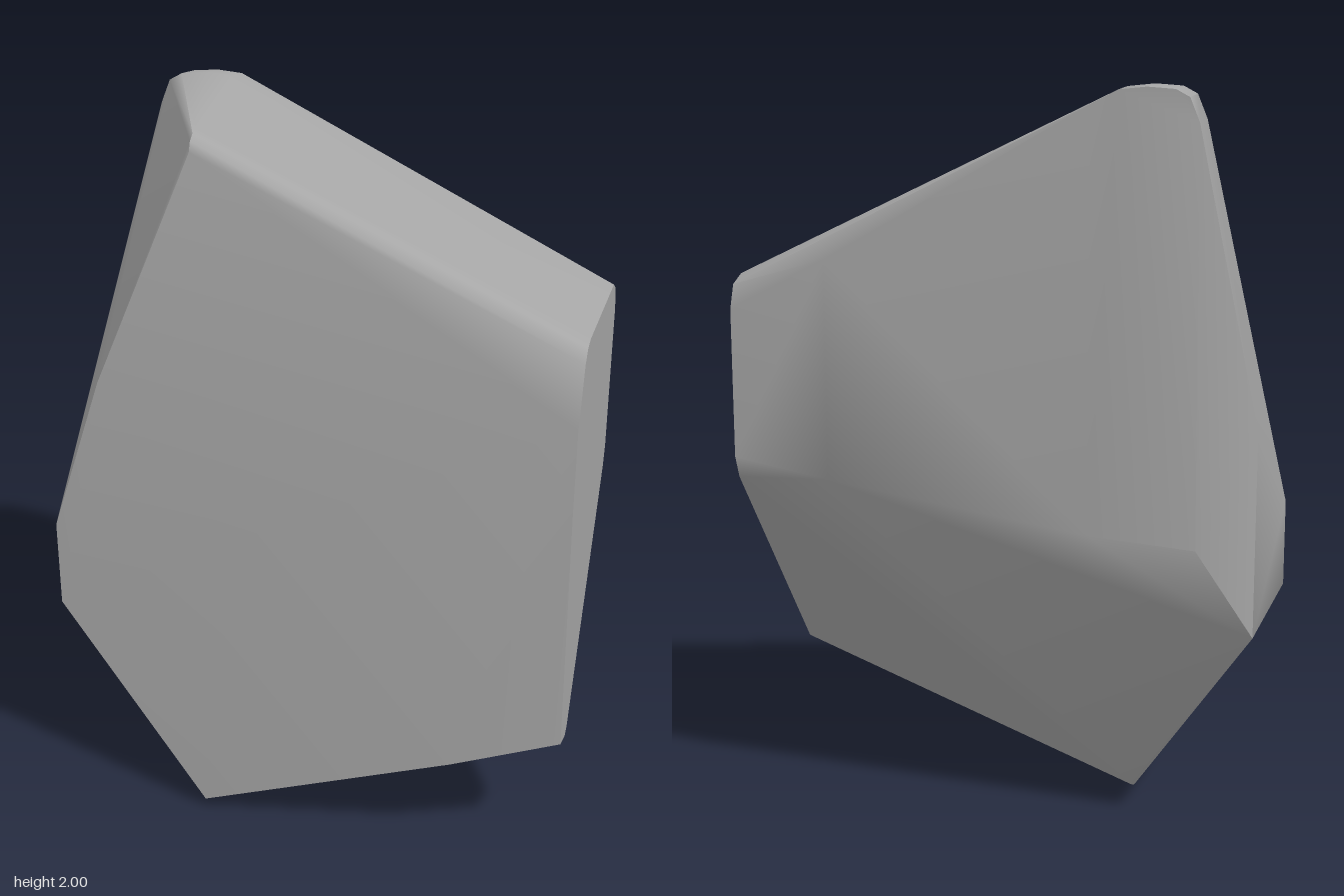
import * as THREE from 'three';
import { ConvexGeometry } from 'three/addons/geometries/ConvexGeometry.js';

// Area-weighted smooth normals that stay sharp above the crease angle
function softenNormals(geometry, crease) {
  const pos = geometry.attributes.position, normals = geometry.attributes.normal;
  const corners = [], faces = [];
  for (let i = 0; i < pos.count; i++) corners.push(new THREE.Vector3().fromBufferAttribute(pos, i));
  for (let i = 0; i < pos.count; i += 3) {
    const u = corners[i + 1].clone().sub(corners[i]);
    faces.push(u.cross(corners[i + 2].clone().sub(corners[i])));
  }
  corners.forEach((p, i) => {
    const own = faces[Math.floor(i / 3)], sum = new THREE.Vector3();
    corners.forEach((q, j) => {
      const other = faces[Math.floor(j / 3)];
      if (p.distanceToSquared(q) < 1e-8 && own.angleTo(other) < crease) sum.add(other);
    });
    sum.normalize();
    normals.setXYZ(i, sum.x, sum.y, sum.z);
  });
  return geometry;
}

export function createModel() {
  const group = new THREE.Group();
  group.name = 'rockShard';
  const stone = new THREE.MeshStandardMaterial({ color: 0xa6a6a6 });
  stone.name = 'grey stone';

  const points = [];
  // Adds a cross-section at one x, given as [y, z] pairs
  const section = (x, ...yz) => yz.forEach(([y, z]) => points.push(new THREE.Vector3(x, y, z)));

  // Broken flat end
  section(0.705, [1.32, 0.338], [1.47, 0.28], [1.5, 0.25], [1.51, 0.21], [1.51, -0.22], [1.485, -0.27],
    [1.42, -0.292], [1.02, -0.292], [0.96, -0.27], [0.38, 0.17], [0.365, 0.2], [0.39, 0.28], [1.1, 0.338]);
  // Bulge toward the end: back bend and lower front corner
  section(0.42, [1.56, -0.325], [0.98, -0.325], [0.31, 0.338]);
  // Top front corner and its bevel
  section(-0.28, [1.92, 0.3], [1.945, 0.29], [1.96, 0.27], [1.965, 0.24]);
  // Flat back above the undercut
  section(-0.29, [1.95, -0.335], [0.88, -0.335]);
  // Front face swell
  section(-0.18, [0.9, 0.338]);
  section(-0.55, [1.3, 0.318]);
  // Bottom tip
  section(-0.3, [0.03, 0.3], [0.01, 0.26], [0, 0.21], [0.02, 0.165]);
  // Small flat side
  section(-0.705, [0.62, 0.305], [0.86, 0.305], [1.15, -0.245], [0.62, -0.245]);
  // Back corner beside the small flat side
  section(-0.57, [0.86, -0.335]);
  // Rounded crest, dropping slightly to the back
  for (const [x, y] of [[-0.56, 1.915], [-0.535, 1.975], [-0.5, 1.994], [-0.43, 2], [-0.36, 1.994]]) {
    section(x, [y, -0.24], [y - 0.01, -0.335]);
  }

  const shard = new THREE.Mesh(softenNormals(new ConvexGeometry(points), 0.68), stone);
  shard.name = 'shard';
  group.add(shard);
  return group;
}
